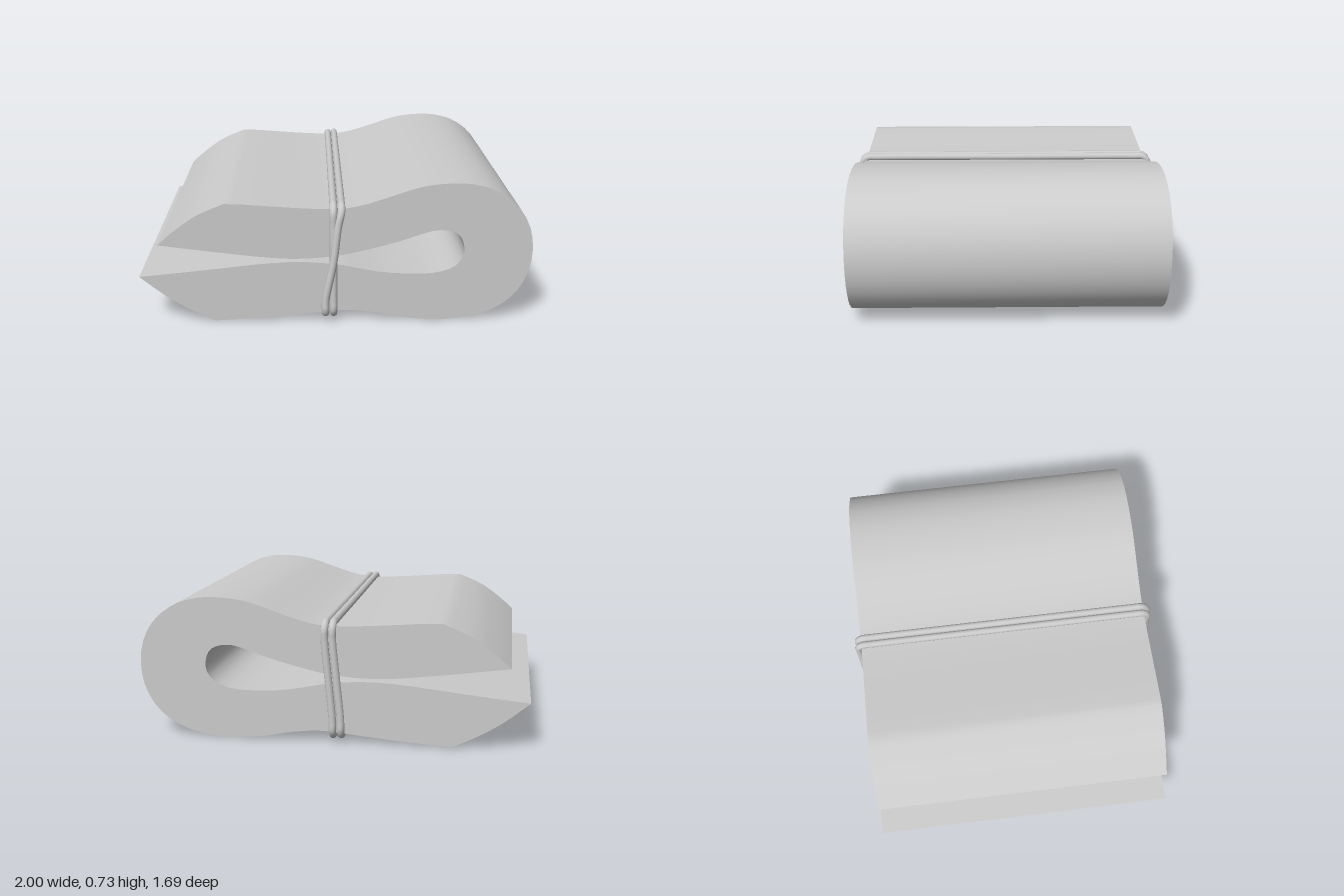
import * as THREE from 'three';
import { toCreasedNormals } from 'three/addons/utils/BufferGeometryUtils.js';

const BACK = -0.81, FRONT = 0.785;

// Outline runs, each a smooth curve; the runs meet at sharp corners.
const upperCut = [[-0.9, 0.42], [-0.82, 0.49], [-0.7, 0.575], [-0.56, 0.635]];
const outerFold = [
  [-0.45, 0.631], [-0.2, 0.612], [0, 0.605], [0.12, 0.621], [0.25, 0.66], [0.4, 0.71], [0.5, 0.729],
  [0.62, 0.735], [0.72, 0.722], [0.82, 0.685], [0.92, 0.605], [0.98, 0.5], [1, 0.38], [0.983, 0.26],
  [0.93, 0.155], [0.85, 0.08], [0.75, 0.032], [0.65, 0.01], [0.53, 0], [0.36, 0.012], [0.22, 0.04],
  [0.1, 0.055], [0, 0.055], [-0.15, 0.04], [-0.4, 0.018], [-0.62, 0.005],
];
const lowerCut = [[-0.75, 0.07], [-0.87, 0.145], [-1, 0.25]];
const innerFold = [
  [-0.8, 0.27], [-0.6, 0.291], [-0.4, 0.313], [-0.2, 0.325], [0, 0.311], [0.1, 0.291], [0.25, 0.264],
  [0.42, 0.255], [0.53, 0.265], [0.605, 0.295], [0.645, 0.345], [0.65, 0.4], [0.632, 0.452],
  [0.59, 0.481], [0.52, 0.49], [0.45, 0.475], [0.3, 0.425], [0.15, 0.386], [0, 0.355], [-0.2, 0.341],
  [-0.4, 0.355], [-0.65, 0.386], [-0.9, 0.42],
];

const toVectors = (run) => run.map(([x, y]) => new THREE.Vector2(x, y));

function makeFoldedStack(material) {
  const shape = new THREE.Shape();
  shape.moveTo(...upperCut[0]);
  shape.splineThru(toVectors(upperCut.slice(1)));
  for (const run of [outerFold, lowerCut, innerFold]) shape.splineThru(toVectors(run));
  const geometry = new THREE.ExtrudeGeometry(shape, {
    depth: FRONT - BACK, bevelEnabled: false, curveSegments: 2,
  });
  geometry.translate(0, 0, BACK);
  const mesh = new THREE.Mesh(toCreasedNormals(geometry, 0.5), material);
  mesh.name = 'foldedStack';
  return mesh;
}

// One turn of the band: over the top, down the front, under, and up the back.
function bandTurn(top, bottom, nextTop, frontZ) {
  const middle = (top + bottom) / 2;
  const rise = (bottom + nextTop) / 2;
  return [
    [top, 0.622, -0.74], [top, 0.622, 0], [top, 0.622, 0.72], [top, 0.62, 0.775],
    [top, 0.595, 0.803], [top * 0.8 + bottom * 0.2, 0.52, (frontZ + 0.806) / 2],
    [middle, 0.33, frontZ], [bottom, 0.12, frontZ - 0.003], [bottom, 0.065, frontZ - 0.006],
    [bottom, 0.04, 0.775], [bottom, 0.037, 0.72], [bottom, 0.037, 0], [bottom, 0.037, -0.75],
    [bottom, 0.04, -0.805], [bottom, 0.065, -0.826], [bottom, 0.12, -0.828], [rise, 0.33, -0.828],
    [nextTop, 0.54, -0.828], [nextTop, 0.595, -0.826], [nextTop, 0.62, -0.8],
  ].map((p) => new THREE.Vector3(...p));
}

// A single band wound twice, its strands crossing on the front.
function makeElasticBand(material) {
  const path = new THREE.CatmullRomCurve3([
    ...bandTurn(-0.014, -0.012, 0.026, 0.804),
    ...bandTurn(0.026, -0.054, -0.014, 0.822),
  ], true);
  path.arcLengthDivisions = 1200;
  const mesh = new THREE.Mesh(new THREE.TubeGeometry(path, 400, 0.0195, 10, true), material);
  mesh.name = 'elasticBand';
  return mesh;
}

export function createModel() {
  const material = new THREE.MeshStandardMaterial({ color: 0xcccccc });
  const group = new THREE.Group();
  group.name = 'bandedFoldedStack';
  group.add(makeFoldedStack(material), makeElasticBand(material));
  return group;
}
